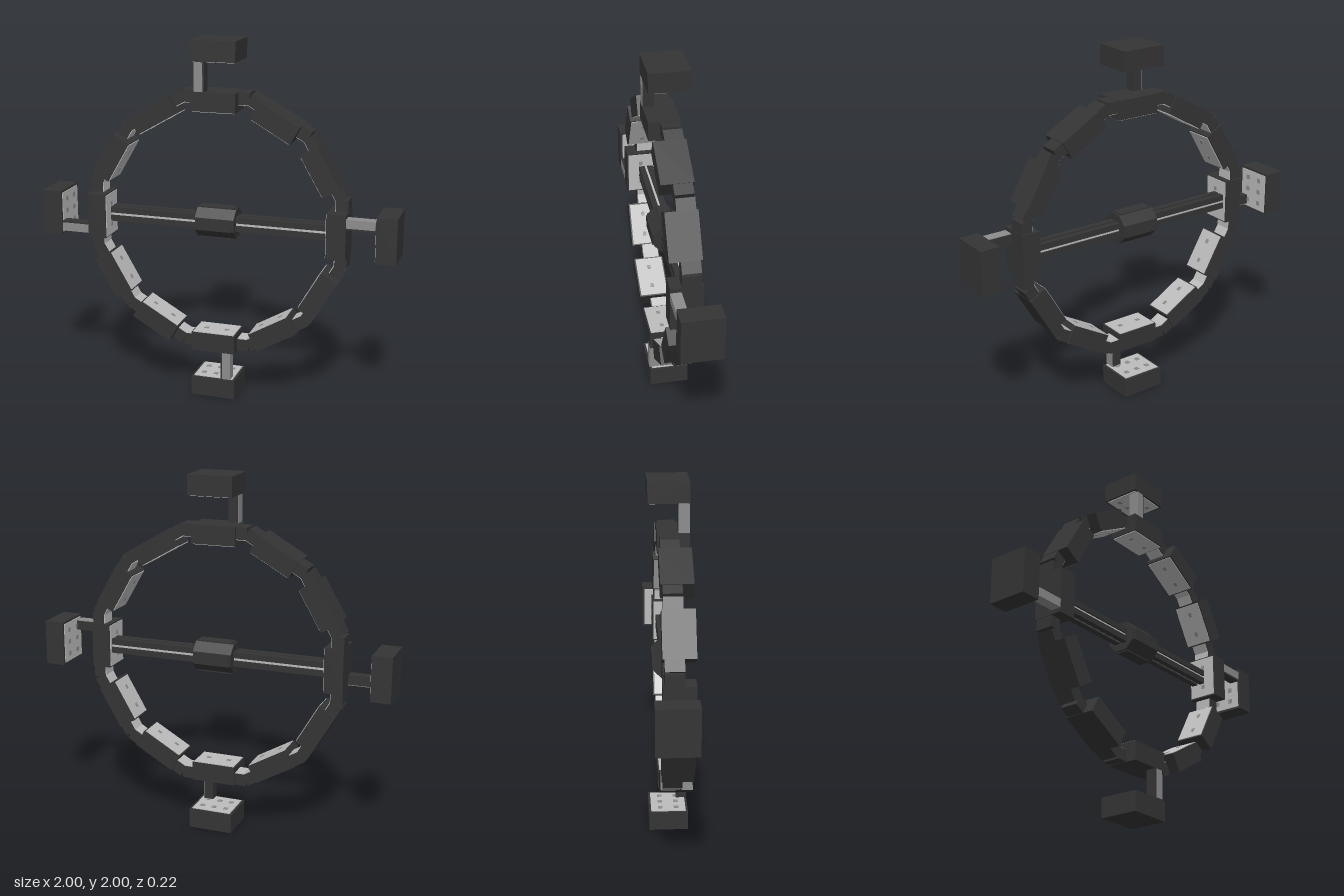
import * as THREE from 'three';

const dark = new THREE.MeshStandardMaterial({ color: 0x343434 });
dark.name = 'charcoal hull';
const light = new THREE.MeshStandardMaterial({ color: 0xbcbcbc });
light.name = 'pale inner plate';
const grey = new THREE.MeshStandardMaterial({ color: 0x8c8c8c });
grey.name = 'mid grey strut';

// Box given by its min / max corners
function box(parent, name, mat, x0, x1, y0, y1, z0, z1) {
  const mesh = new THREE.Mesh(new THREE.BoxGeometry(x1 - x0, y1 - y0, z1 - z0), mat);
  mesh.position.set((x0 + x1) / 2, (y0 + y1) / 2, (z0 + z1) / 2);
  mesh.name = name;
  parent.add(mesh);
  return mesh;
}

// Prism along x with a regular cross-section and a flat side to the front
function prism(parent, name, mat, radius, length, sides) {
  const geo = new THREE.CylinderGeometry(radius, radius, length, sides, 1, false, Math.PI / sides).toNonIndexed();
  geo.computeVertexNormals();
  geo.rotateZ(Math.PI / 2);
  const mesh = new THREE.Mesh(geo, mat);
  mesh.name = name;
  parent.add(mesh);
  return mesh;
}

// One ring module, drawn at the top of the ring with its hinge blocks
function ringModule() {
  const g = new THREE.Group();
  g.name = 'ringModule';
  box(g, 'moduleHull', dark, -0.125, 0.125, 0.625, 0.73, -0.06, 0.11);
  box(g, 'moduleInnerPlate', light, -0.118, 0.118, 0.621, 0.625, -0.053, 0.103);
  for (const s of [-1, 1]) {
    box(g, 'plateSocket', grey, s * 0.06 - 0.012, s * 0.06 + 0.012, 0.619, 0.621, 0.02, 0.04);
    const a = s > 0 ? 0.125 : -0.187, b = s > 0 ? 0.187 : -0.125;
    box(g, 'hingeBlock', dark, a, b, 0.662, 0.728, -0.05, 0.05);
    box(g, 'hingeInnerPlate', light, a, b, 0.658, 0.662, -0.045, 0.045);
  }
  return g;
}

// Outer pod on an offset strut, drawn above the ring
function pod() {
  const g = new THREE.Group();
  g.name = 'outerPod';
  box(g, 'podHull', dark, -0.125, 0.125, 0.89, 1, -0.11, 0.11);
  box(g, 'podInnerPlate', light, -0.113, 0.113, 0.886, 0.89, -0.098, 0.098);
  for (const x of [-0.07, 0, 0.07]) for (const z of [-0.045, 0.045]) {
    box(g, 'podSocket', grey, x - 0.013, x + 0.013, 0.884, 0.886, z - 0.013, z + 0.013);
  }
  box(g, 'strut', dark, -0.098, -0.045, 0.73, 0.89, 0.05, 0.108);
  box(g, 'strutFrontPlate', grey, -0.102, -0.055, 0.73, 0.886, 0.108, 0.111);
  box(g, 'strutSidePlate', grey, -0.102, -0.098, 0.73, 0.886, 0.052, 0.108);
  return g;
}

export function createModel() {
  const model = new THREE.Group();
  model.name = 'ringStation';
  const body = new THREE.Group();
  body.name = 'stationBody';
  body.position.y = 1;
  model.add(body);

  // Twelve-sided ring
  for (let i = 0; i < 12; i++) {
    const m = ringModule();
    m.rotation.z = -i * Math.PI / 6;
    body.add(m);
  }
  // Four pods, each a quarter turn on
  for (let i = 0; i < 4; i++) {
    const p = pod();
    p.rotation.z = -i * Math.PI / 2;
    body.add(p);
  }

  // Cross axle: pale core held by four dark rails
  prism(body, 'axleCore', light, 0.034, 1.24, 8);
  for (const y of [-1, 1]) for (const z of [-1, 1]) {
    const r = box(body, 'axleRail', dark, -0.62, 0.62, -0.0165, 0.0165, -0.0165, 0.0165);
    r.position.set(0, y * 0.024, z * 0.024);
  }

  // Central hub: eight-sided drum with raised panels
  prism(body, 'hubDrum', dark, 0.088, 0.22, 8);
  for (let i = 0; i < 4; i++) {
    const panel = new THREE.Group();
    panel.name = 'hubPanel';
    box(panel, 'hubPanelPlate', dark, -0.097, 0.097, 0.075, 0.088, -0.034, 0.034);
    panel.rotation.x = i * Math.PI / 2;
    body.add(panel);
  }
  return model;
}
